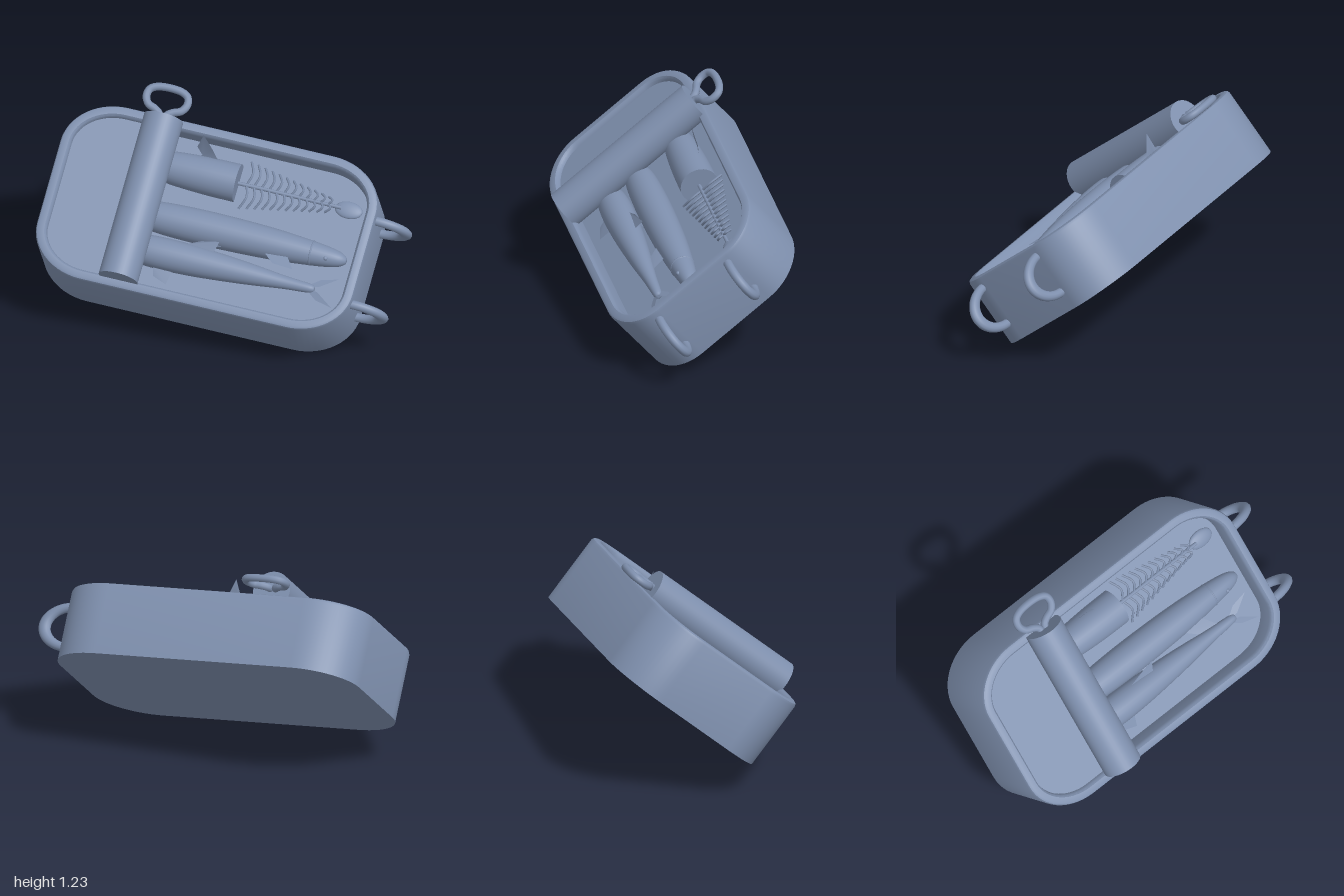
import * as THREE from 'three';
import { toCreasedNormals } from 'three/addons/utils/BufferGeometryUtils.js';

const COLOR = 0x7e8fad;
const mat = new THREE.MeshStandardMaterial({ color: COLOR });
const thinMat = new THREE.MeshStandardMaterial({ color: COLOR, side: THREE.DoubleSide });
const V = (x, y, z) => new THREE.Vector3(x, y, z);

// Tin size: straight half lengths, corner radii, height, inner floor, fish axis height
const A = 0.597, B = 0.245, RX = 0.32, RZ = 0.27, H = 0.42, FLOOR = 0.29, FISH_Y = 0.32;

function add(parent, name, geo, m = mat) {
  const mesh = new THREE.Mesh(geo, m);
  mesh.name = name;
  parent.add(mesh);
  return mesh;
}

// Rounded-rectangle outline, moved inward by inset
function outline(inset) {
  const pts = [], n = 14;
  [[1, 1], [-1, 1], [-1, -1], [1, -1]].forEach(([sx, sz], q) => {
    for (let i = 0; i <= n; i++) {
      const t = (q + i / n) * Math.PI / 2;
      pts.push(new THREE.Vector2(sx * A + (RX - inset) * Math.cos(t), sz * B + (RZ - inset) * Math.sin(t)));
    }
  });
  return pts;
}

// Sweep a wall profile of [inset, y] around the outline
function sweptWall(profile) {
  const pos = [], idx = [], n = outline(0).length;
  profile.forEach(([inset, y]) => outline(inset).forEach(p => pos.push(p.x, y, p.y)));
  for (let i = 0; i < profile.length - 1; i++) for (let j = 0; j < n; j++) {
    const k = (j + 1) % n, a = i * n + j, b = i * n + k;
    idx.push(a, a + n, b, b, a + n, b + n);
  }
  const g = new THREE.BufferGeometry();
  g.setAttribute('position', new THREE.Float32BufferAttribute(pos, 3));
  g.setIndex(idx);
  return toCreasedNormals(g, 0.5);
}

// Flat panel in the tin's outline, optionally cut off at x = cut
function plate(inset, y, up, cut = 9) {
  const pts = outline(inset).map(p => new THREE.Vector2(Math.min(p.x, cut), p.y));
  const g = new THREE.ShapeGeometry(new THREE.Shape(pts));
  return g.rotateX(up ? -Math.PI / 2 : Math.PI / 2).translate(0, y, 0);
}

// Round body along x from [x, radius] stations
function fishBody(stations, z) {
  const curve = new THREE.SplineCurve(stations.map(([x, r]) => new THREE.Vector2(r, x)));
  const pts = curve.getPoints(36).map(p => new THREE.Vector2(Math.max(p.x, 0), p.y));
  const g = new THREE.LatheGeometry(pts, 28).rotateZ(-Math.PI / 2);
  return g.translate(0, FISH_Y, z);
}

// Thin fan of corners
function fin(parent, name, corners) {
  const g = new THREE.BufferGeometry().setFromPoints(corners.map(c => V(...c)));
  const idx = [];
  for (let i = 1; i < corners.length - 1; i++) idx.push(0, i, i + 1);
  g.setIndex(idx);
  g.computeVertexNormals();
  add(parent, name, g, thinMat);
}

const tube = (pts, r, seg = 10, sides = 6) =>
  new THREE.TubeGeometry(new THREE.CatmullRomCurve3(pts), seg, r, sides);

function buildTin(tin) {
  add(tin, 'tinWall', sweptWall([[0, 0], [0, H - 0.02], [0.006, H - 0.006], [0.018, H], [0.048, H],
    [0.058, H - 0.01], [0.064, H - 0.03], [0.064, FLOOR]]));
  add(tin, 'tinBottom', plate(0, 0, false));
  add(tin, 'tinFloor', plate(0.06, FLOOR, true));

  // Peeled lid: flat remainder and the rolled part
  add(tin, 'lidPanel', plate(0.06, H - 0.03, true, -0.38), thinMat);
  const roll = add(tin, 'lidRoll', new THREE.CylinderGeometry(0.112, 0.112, 0.96, 40).rotateX(Math.PI / 2));
  roll.position.set(-0.382, H + 0.028, -0.012);

  // Opening key at the far end of the roll
  const half = [[0.018, -0.45], [0.02, -0.505], [0.05, -0.53], [0.095, -0.55], [0.118, -0.59],
    [0.11, -0.635], [0.065, -0.66]];
  const loop = [...half, ...half.slice().reverse().map(([x, z]) => [-x, z])];
  const key = add(tin, 'openingKey', tube(loop.map(([x, z]) => V(x, 0, z)), 0.022, 80, 10));
  key.position.set(-0.39, H + 0.04, 0);

  // Two half-ring handles on the end wall
  for (const s of [-1, 1]) {
    const ring = new THREE.TorusGeometry(0.12, 0.026, 12, 32, Math.PI).rotateZ(-Math.PI / 2);
    const handle = add(tin, 'endHandle', ring);
    handle.scale.x = 1.4;
    handle.position.set(A + RX - 0.01, 0.235, s * 0.25 + 0.03);
  }
}

function buildFish(tin) {
  const y = FISH_Y;

  // Front fish with a forked tail
  const front = new THREE.Group();
  front.name = 'frontFish';
  tin.add(front);
  add(front, 'fishBody', fishBody([[-0.43, 0], [-0.4, 0.06], [-0.28, 0.088], [-0.05, 0.088],
    [0.25, 0.066], [0.5, 0.038], [0.66, 0.024], [0.68, 0]], 0.235));
  for (const s of [-1, 1]) {
    fin(front, 'tailFin', [[0.62, y, 0.235], [0.7, y + 0.01, 0.235 + s * 0.015],
      [0.8, y + 0.01, 0.235 + s * 0.085], [0.7, y, 0.235 + s * 0.06]]);
  }
  fin(front, 'sideFin', [[-0.24, y + 0.01, 0.3], [-0.12, y, 0.31], [-0.14, y - 0.015, 0.4], [-0.22, y - 0.01, 0.37]]);
  fin(front, 'backFin', [[-0.1, y + 0.04, 0.17], [0.08, y + 0.04, 0.18], [0.1, y + 0.06, 0.11], [0, y + 0.06, 0.13]]);

  // Middle fish with its head towards the handles
  const middle = new THREE.Group();
  middle.name = 'middleFish';
  tin.add(middle);
  add(middle, 'fishBody', fishBody([[-0.41, 0], [-0.38, 0.06], [-0.28, 0.088], [0, 0.098],
    [0.35, 0.09], [0.6, 0.07], [0.75, 0.048], [0.805, 0.02], [0.81, 0]], 0.035));
  add(middle, 'gillCover', new THREE.TorusGeometry(0.066, 0.006, 8, 24).rotateY(Math.PI / 2)).position.set(0.61, y, 0.035);
  add(middle, 'eye', new THREE.SphereGeometry(0.012, 12, 8)).position.set(0.7, y + 0.05, 0.06);
  fin(middle, 'backFin', [[0.34, y + 0.04, 0.09], [0.48, y + 0.04, 0.085], [0.54, y + 0.07, 0.17], [0.42, y + 0.06, 0.16]]);
  fin(middle, 'sideFin', [[0.05, y + 0.03, 0.11], [0.16, y + 0.03, 0.11], [0.02, y + 0.04, 0.155]]);

  // Back fish, cut in half with its bones showing
  const back = new THREE.Group();
  back.name = 'eatenFish';
  tin.add(back);
  const z = -0.26;
  add(back, 'fishBody', fishBody([[-0.5, 0], [-0.46, 0.05], [-0.32, 0.088], [-0.1, 0.105], [0.1, 0.108]], z));
  add(back, 'cutFace', new THREE.CircleGeometry(0.108, 28).rotateY(Math.PI / 2)).position.set(0.1, y, z);
  fin(back, 'raisedFin', [[-0.13, H - 0.06, -0.36], [-0.2, y + 0.03, -0.33], [-0.02, y + 0.03, -0.33],
    [-0.07, H, -0.385], [-0.125, H + 0.1, -0.43], [-0.16, H, -0.385]]);
  add(back, 'spine', tube([V(0.08, y, z), V(0.35, y, z), V(0.7, y - 0.005, z)], 0.011, 16, 8));
  for (let i = 0; i < 12; i++) {
    const x = 0.15 + i * 0.043, len = 0.14 - i * 0.0085;
    for (const s of [-1, 1]) {
      add(back, 'rib', tube([V(x, y, z), V(x + 0.02, y + 0.015, z + s * len * 0.5),
        V(x - 0.01, y - 0.01, z + s * len)], 0.007, 8, 5));
    }
  }
  const head = add(back, 'fishHead', new THREE.SphereGeometry(1, 20, 12));
  head.scale.set(0.08, 0.02, 0.05);
  head.position.set(0.74, FLOOR + 0.01, z);
}

export function createModel() {
  const model = new THREE.Group();
  model.name = 'openFishTin';
  const tin = new THREE.Group();
  tin.name = 'tiltedTin';
  buildTin(tin);
  buildFish(tin);

  // Tilt: length axis, opening direction, width axis
  const len = V(0.831, -0.0955, 0.548).normalize();
  const up = V(-0.292, 0.765, 0.575);
  up.addScaledVector(len, -up.dot(len)).normalize();
  const wide = len.clone().cross(up);
  tin.quaternion.setFromRotationMatrix(new THREE.Matrix4().makeBasis(len, up, wide));
  tin.position.set(0.013, 0.388, -0.12);
  model.add(tin);
  return model;
}
